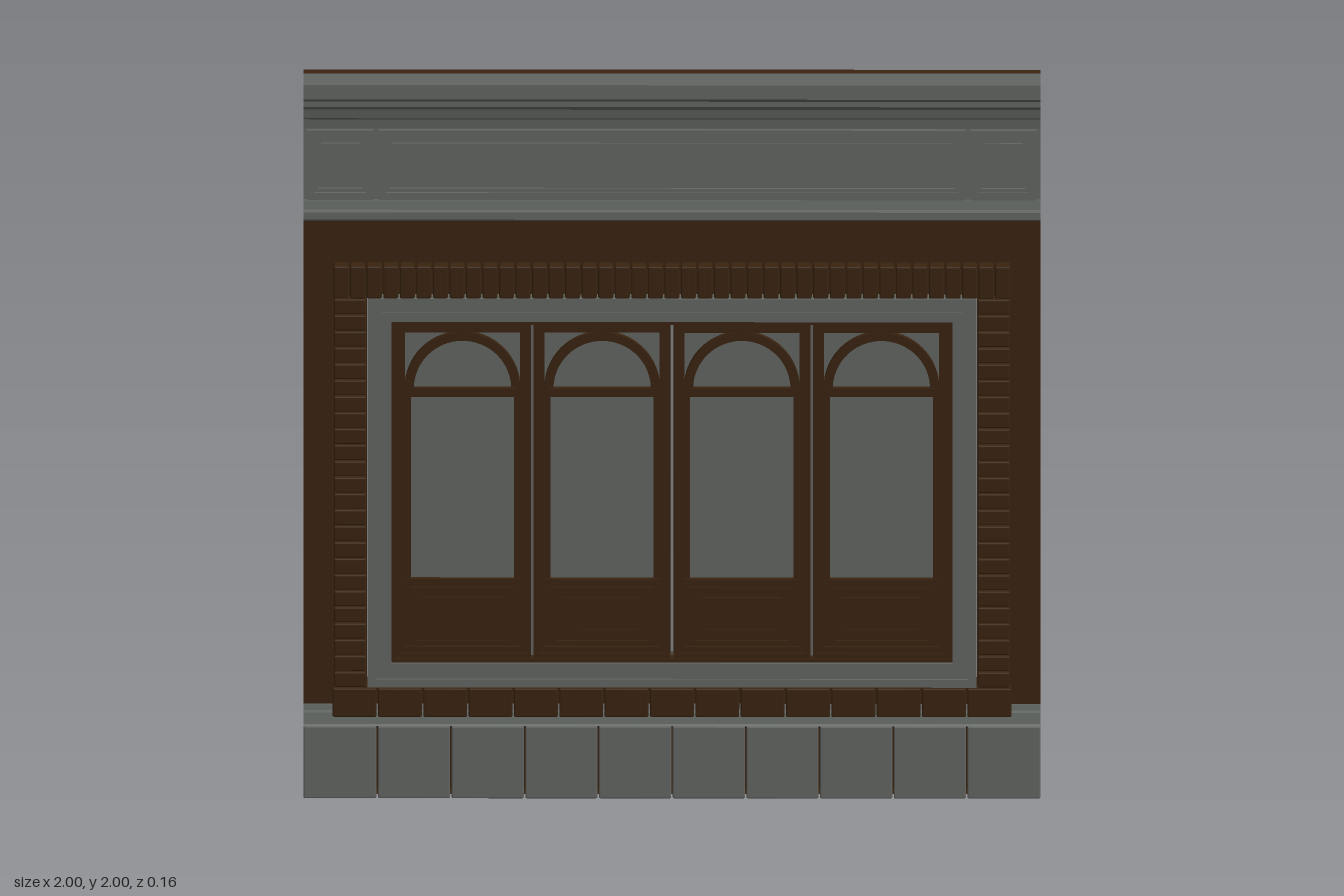
import * as THREE from 'three';
import { RoundedBoxGeometry } from 'three/addons/geometries/RoundedBoxGeometry.js';

export function createModel() {
  const model = new THREE.Group();
  model.name = 'wallWithWindow';
  const stone = new THREE.MeshStandardMaterial({ name: 'greyStone', color: 0x626662, side: THREE.DoubleSide });
  const wood = new THREE.MeshStandardMaterial({ name: 'darkBrown', color: 0x39230f, side: THREE.DoubleSide });

  function add(name, geometry, material, parent = model) {
    const mesh = new THREE.Mesh(geometry, material);
    mesh.name = name;
    parent.add(mesh);
    return mesh;
  }
  // Box given by its limits on each axis
  function box(name, x0, x1, y0, y1, z0, z1, material, parent, bevel = 0) {
    const size = [x1 - x0, y1 - y0, z1 - z0];
    const g = bevel ? new RoundedBoxGeometry(...size, 1, bevel) : new THREE.BoxGeometry(...size);
    g.translate((x0 + x1) / 2, (y0 + y1) / 2, (z0 + z1) / 2);
    return add(name, g, material, parent);
  }
  function rect(target, x0, x1, y0, y1) {
    target.moveTo(x0, y0);
    target.lineTo(x1, y0);
    target.lineTo(x1, y1);
    target.lineTo(x0, y1);
    target.closePath();
    return target;
  }
  // Rectangular frame of border width w between z0 and z1
  function frame(name, x0, x1, y0, y1, w, z0, z1, material, parent) {
    const s = rect(new THREE.Shape(), x0, x1, y0, y1);
    s.holes.push(rect(new THREE.Path(), x0 + w, x1 - w, y0 + w, y1 - w));
    const g = new THREE.ExtrudeGeometry(s, { depth: z1 - z0, bevelEnabled: false });
    return add(name, g.translate(0, 0, z0), material, parent);
  }
  // Open moulding: [y, z] profile from top to bottom swept along x; side -1 is the back
  function moulding(name, profile, x0, x1, side, material) {
    const pos = [];
    const [a, b] = side > 0 ? [x0, x1] : [x1, x0];
    for (let i = 0; i < profile.length - 1; i++) {
      const [yt, zt] = profile[i], [yb, zb] = profile[i + 1];
      const tl = [a, yt, zt * side], bl = [a, yb, zb * side], br = [b, yb, zb * side], tr = [b, yt, zt * side];
      pos.push(...tl, ...bl, ...br, ...tl, ...br, ...tr);
    }
    const g = new THREE.BufferGeometry();
    g.setAttribute('position', new THREE.Float32BufferAttribute(pos, 3));
    g.computeVertexNormals();
    return add(name, g, material);
  }

  const cornice = [[2, 0], [2, 0.05], [1.985, 0.055], [1.985, 0.082], [1.945, 0.082], [1.935, 0.062],
    [1.92, 0.062], [1.91, 0.05], [1.885, 0.045], [1.88, 0.035], [1.855, 0.032], [1.855, 0.02], [1.655, 0.02]];
  const friezeFoot = [[1.655, 0.02], [1.655, 0.035], [1.63, 0.04], [1.625, 0.052], [1.605, 0.052], [1.6, 0.04], [1.595, 0.02]];

  for (const side of [1, -1]) {
    const face = side > 0 ? 'front' : 'back';
    const trim = side > 0 ? stone : wood;
    const range = (a, b) => (side > 0 ? [a, b] : [-b, -a]);

    // Wall sheet with the window opening
    const s = rect(new THREE.Shape(), -1, 1, 0.2, 1.6);
    s.holes.push(rect(new THREE.Path(), -0.828, 0.828, 0.308, 1.392));
    const g = new THREE.ShapeGeometry(s);
    if (side < 0) g.rotateY(Math.PI);
    add(face + 'Wall', g.translate(0, 0, 0.02 * side), side > 0 ? wood : stone);

    // Cornice and frieze
    moulding(face + 'Cornice', cornice, -1, 1, side, trim);
    moulding(face + 'FriezeFoot', friezeFoot, -1, 1, side, trim);
    for (const [x0, x1] of [[-0.99, -0.81], [-0.797, 0.797], [0.81, 0.99]]) {
      frame(face + 'FriezeFrame', x0, x1, 1.657, 1.85, 0.02, ...range(0.02, 0.04), trim);
      frame(face + 'FriezeBead', x0 + 0.02, x1 - 0.02, 1.677, 1.83, 0.01, ...range(0.02, 0.032), trim);
      box(face + 'FriezePanel', x0 + 0.038, x1 - 0.038, 1.695, 1.812, ...range(0.02, 0.03), trim);
    }
  }

  // Front plinth blocks and their cap
  for (let i = 0; i < 10; i++) {
    const x = -1 + i * 0.2;
    box('plinthBlock', x + (i ? 0.002 : 0), x + (i < 9 ? 0.198 : 0.2), 0, 0.2, 0, 0.06, stone, model, 0.004);
  }
  moulding('plinthCap', [[0.255, 0.02], [0.255, 0.03], [0.24, 0.033], [0.235, 0.044], [0.205, 0.05], [0.2, 0.055]], -1, 1, 1, stone);

  // Back skirting and the low wainscot either side of the window
  moulding('skirting', [[0.23, 0.02], [0.23, 0.035], [0.215, 0.038], [0.2, 0.055], [0.175, 0.055],
    [0.17, 0.065], [0, 0.065], [0, 0]], -1, 1, -1, wood);
  for (const x of [-1, 0.84]) {
    moulding('wainscot', [[0.5, 0.02], [0.5, 0.06], [0.475, 0.06], [0.465, 0.045], [0.44, 0.04], [0.43, 0.03],
      [0.37, 0.03], [0.37, 0.04], [0.35, 0.04], [0.35, 0.03], [0.23, 0.03]], x, x + 0.16, -1, wood);
  }

  // Brick surround
  const bricks = new THREE.Group();
  bricks.name = 'brickSurround';
  model.add(bricks);
  const D = 0.08, gap = 0.002;
  for (let i = 0, n = 41, w = 1.84 / n; i < n; i++) {
    const x = -0.92 + i * w;
    box('lintelBrick', x + gap, x + w - gap, 1.392, 1.48, -D, D, wood, bricks, 0.004);
  }
  for (let i = 0, n = 24, h = 1.08 / n; i < n; i++) {
    const y = 0.311 + i * h;
    box('leftBrick', 0.83, 0.917, y + gap, y + h - gap, -D, D, wood, bricks, 0.004);
    box('rightBrick', -0.917, -0.83, y + gap, y + h - gap, -D, D, wood, bricks, 0.004);
  }
  for (let i = 0, n = 15, w = 1.846 / n; i < n; i++) {
    const x = -0.923 + i * w;
    box('sillBrick', x + gap, x + w - gap, 0.23, 0.309, -D, D, wood, bricks, 0.004);
  }

  // Stepped stone trim and the timber lining inside it: [inset, width, half depth]
  for (const [inset, w, d] of [[0, 0.022, 0.068], [0.022, 0.016, 0.056], [0.038, 0.027, 0.062]]) {
    frame('windowTrim', -0.826 + inset, 0.826 - inset, 0.31 + inset, 1.388 - inset, w, -d, d, stone);
  }
  frame('windowLining', -0.762, 0.762, 0.374, 1.324, 0.012, -0.045, 0.045, wood);
  box('glass', -0.755, -0.002, 0.38, 1.32, -0.003, 0.003, stone);
  box('glass', 0.002, 0.755, 0.38, 1.32, -0.003, 0.003, stone);

  // Four arched sashes, centred on local x = 0
  for (let i = 0; i < 4; i++) {
    const sash = new THREE.Group();
    sash.name = 'sash';
    sash.position.x = (i - 1.5) * 0.379;
    model.add(sash);
    frame('sashFrame', -0.186, 0.186, 0.384, 1.316, 0.014, -0.038, 0.038, wood, sash);
    frame('sashStiles', -0.172, 0.172, 0.398, 1.302, 0.016, -0.026, 0.026, wood, sash);
    for (const x of [-0.156, 0.14]) {
      box('glazingBead', x, x + 0.016, 0.6, 1.125, -0.02, 0.02, wood, sash);
    }
    box('transom', -0.156, 0.156, 1.108, 1.132, -0.028, 0.028, wood, sash);

    // Arch ring with a raised outer rim
    for (const [outer, inner, d] of [[0.157, 0.144, 0.028], [0.144, 0.132, 0.02]]) {
      const ring = new THREE.Shape();
      ring.absarc(0, 1.13, outer, 0, Math.PI, false);
      ring.absarc(0, 1.13, inner, Math.PI, 0, true);
      ring.closePath();
      const g = new THREE.ExtrudeGeometry(ring, { depth: 2 * d, bevelEnabled: false, curveSegments: 16 });
      add('archRing', g.translate(0, 0, -d), wood, sash);
    }

    // Lower panel
    box('lowerPanel', -0.157, 0.157, 0.398, 0.6, -0.012, 0.012, wood, sash);
    box('lowerRail', -0.157, 0.157, 0.583, 0.602, -0.028, 0.028, wood, sash);
    frame('panelBead', -0.14, 0.14, 0.418, 0.578, 0.012, -0.022, 0.022, wood, sash);
    frame('panelBorder', -0.108, 0.108, 0.453, 0.55, 0.008, -0.024, 0.024, wood, sash);
    box('raisedPanel', -0.1, 0.1, 0.461, 0.542, -0.019, 0.019, wood, sash);
  }
  return model;
}
